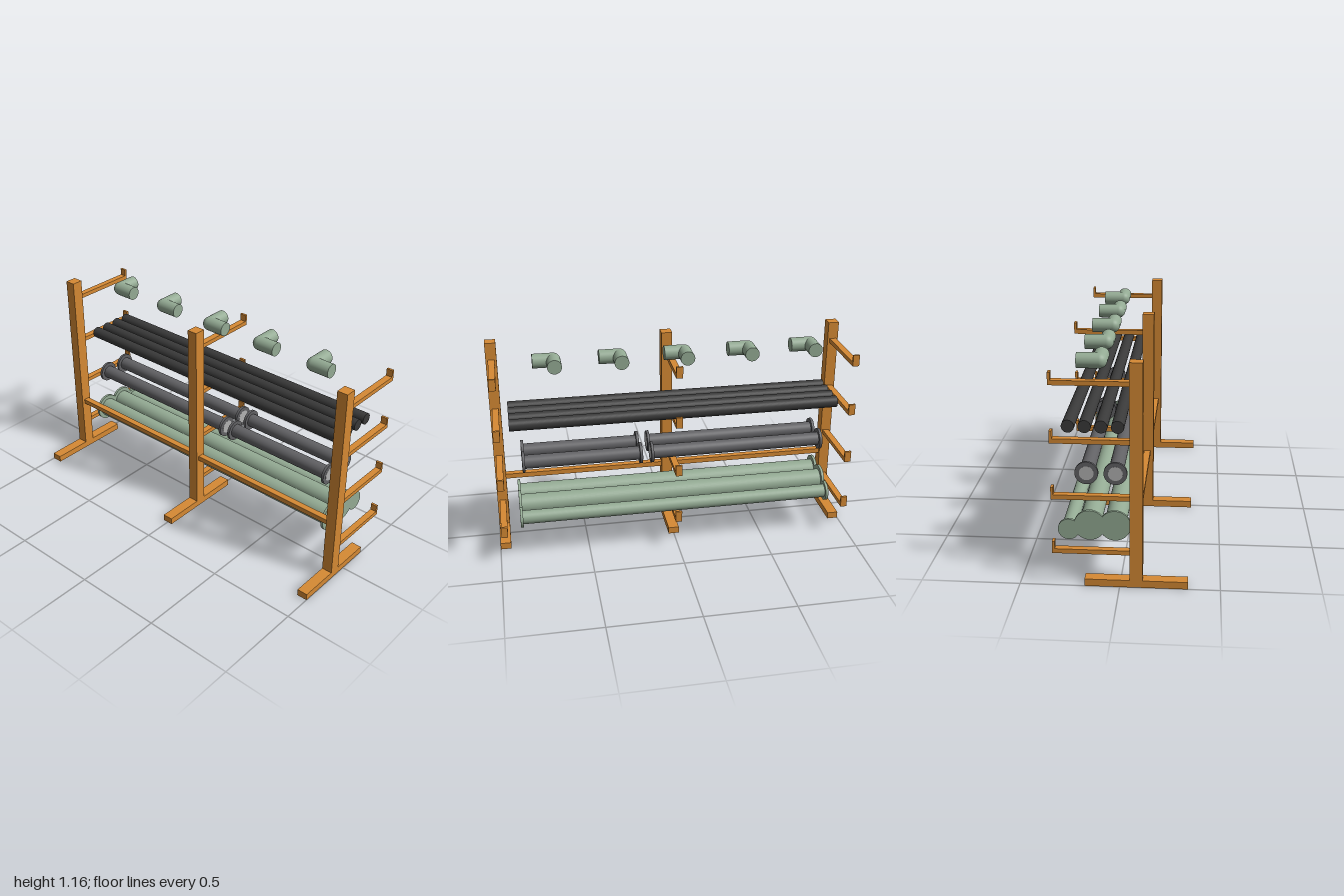
import * as THREE from 'three';

const mat = (color) => new THREE.MeshStandardMaterial({ color });

export function createModel() {
  const root = new THREE.Group();
  root.name = 'pipeRack';
  const orange = mat(0xd68a34), green = mat(0x94ab94), grey = mat(0x626265);
  const black = mat(0x3a3a3a), light = mat(0xb2b2b2);

  const add = (parent, name, geometry, material, x, y, z) => {
    const mesh = new THREE.Mesh(geometry, material);
    mesh.name = name;
    mesh.position.set(x, y, z);
    parent.add(mesh);
    return mesh;
  };
  const group = (name) => {
    const g = new THREE.Group();
    g.name = name;
    root.add(g);
    return g;
  };
  // Box given by its lower and upper limits
  const box = (parent, name, [x0, x1], [y0, y1], [z0, z1]) =>
    add(parent, name, new THREE.BoxGeometry(x1 - x0, y1 - y0, z1 - z0), orange,
      (x0 + x1) / 2, (y0 + y1) / 2, (z0 + z1) / 2);
  // Cylinder lying along x
  const rod = (parent, name, material, r, x0, x1, y, z) =>
    add(parent, name, new THREE.CylinderGeometry(r, r, x1 - x0, 40).rotateZ(Math.PI / 2),
      material, (x0 + x1) / 2, y, z);
  // Pipe with a flange at each end
  const flangedPipe = (name, material, r, flangeR, x0, x1, y, z) => {
    const g = group(name), t = 0.015;
    rod(g, 'pipe', material, r, x0 + t, x1 - t, y, z);
    rod(g, 'leftFlange', material, flangeR, x1 - t, x1, y, z);
    rod(g, 'rightFlange', material, flangeR, x0, x0 + t, y, z);
    return g;
  };

  // Three uprights, each with a foot and four lipped arms
  for (const x of [-0.97, 0, 0.97]) {
    const frame = group('uprightFrame');
    box(frame, 'post', [x - 0.03, x + 0.03], [0, 1.16], [0.05, 0.114]);
    box(frame, 'foot', [x - 0.03, x + 0.03], [0, 0.038], [-0.175, 0.339]);
    for (const y of [0.17, 0.46, 0.75, 1.04]) {
      box(frame, 'arm', [x - 0.018, x + 0.018], [y, y + 0.024], [-0.335, 0.05]);
      box(frame, 'armLip', [x - 0.018, x + 0.018], [y + 0.024, y + 0.063], [-0.335, -0.322]);
    }
  }

  // Rails joining the uprights
  for (const s of [-1, 1])
    box(root, 'rail', [s < 0 ? -0.94 : 0.03, s < 0 ? -0.03 : 0.94], [0.326, 0.354], [0.061, 0.097]);

  // Bottom shelf: two large pipes and one small
  for (const [r, flangeR, y, z] of [
    [0.056, 0.08, 0.274, -0.032],
    [0.056, 0.08, 0.274, -0.16],
    [0.038, 0.055, 0.249, -0.266],
  ]) flangedPipe('largePipe', green, r, flangeR, -0.878, 0.878, y, z);

  // Second shelf: long and short pipes with pale bores
  for (const z of [-0.031, -0.176]) {
    for (const [x0, x1] of [[-0.85, 0.136], [0.184, 0.846]]) {
      const g = flangedPipe('mediumPipe', grey, 0.038, 0.059, x0, x1, 0.544, z);
      rod(g, 'bore', light, 0.037, x0 - 0.001, x1 + 0.001, 0.544, z);
    }
  }

  // Third shelf: plain rods
  for (let i = 0; i < 4; i++)
    rod(root, 'darkRod', black, 0.032, -0.902, 0.902, 0.807, -0.014 - i * 0.081);

  // Top shelf: right-angle elbows
  const R = 0.039, L = 0.112;
  for (let i = 0; i < 5; i++) {
    const elbow = group('elbow');
    rod(elbow, 'sideLeg', green, R, 0, L, 0, 0);
    add(elbow, 'backLeg', new THREE.CylinderGeometry(R, R, L, 40).rotateX(Math.PI / 2),
      green, 0, 0, -L / 2);
    add(elbow, 'corner', new THREE.SphereGeometry(R, 40, 20), green, 0, 0, 0);
    elbow.position.set(-0.776 + i * 0.355, 1.104, -0.112);
  }
  return root;
}
